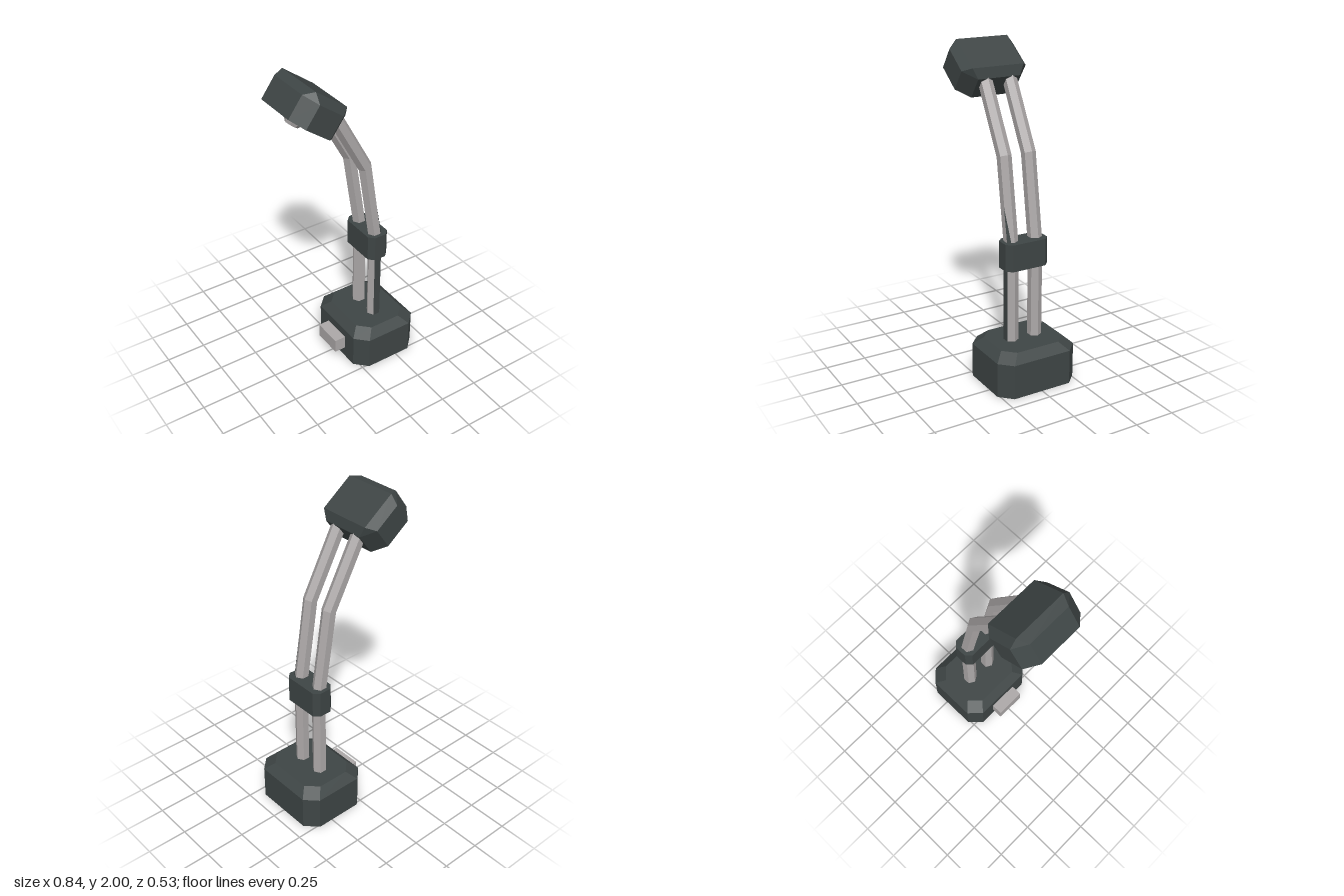
import * as THREE from 'three';

const darkShell = new THREE.MeshStandardMaterial({ color: 0x3e4545 });
const paleMetal = new THREE.MeshStandardMaterial({ color: 0xaca8a8 });

// Closed faceted solid through rings of points (counter-clockwise seen from above)
function loft(rings) {
  const pos = [];
  const tri = (...pts) => pts.forEach(p => pos.push(p.x, p.y, p.z));
  const n = rings[0].length;
  for (let k = 0; k < rings.length - 1; k++) {
    const lo = rings[k], hi = rings[k + 1];
    for (let i = 0; i < n; i++) {
      const j = (i + 1) % n;
      tri(lo[i], lo[j], hi[j]);
      tri(lo[i], hi[j], hi[i]);
    }
  }
  const top = rings[rings.length - 1], bottom = rings[0];
  for (let i = 1; i < n - 1; i++) {
    tri(top[0], top[i], top[i + 1]);
    tri(bottom[0], bottom[i + 1], bottom[i]);
  }
  const geo = new THREE.BufferGeometry();
  geo.setAttribute('position', new THREE.Float32BufferAttribute(pos, 3));
  geo.computeVertexNormals();
  return geo;
}

// Rectangle with cut corners at height y
function cutRect(hx, hz, cut, y) {
  return [
    [hx, hz - cut], [hx, -hz + cut], [hx - cut, -hz], [-hx + cut, -hz],
    [-hx, -hz + cut], [-hx, hz - cut], [-hx + cut, hz], [hx - cut, hz],
  ].map(([x, z]) => new THREE.Vector3(x, y, z));
}

// Hexagonal ring tilted in the xy plane; stretch widens it for mitred bends
const R = 0.043;
function hexRing(x, y, z, tilt, stretch = 1) {
  return Array.from({ length: 6 }, (_, i) => {
    const a = i * Math.PI / 3, u = Math.cos(a) * R * stretch;
    return new THREE.Vector3(x + u * Math.cos(tilt), y + u * Math.sin(tilt), z - Math.sin(a) * R);
  });
}

export function createModel() {
  const model = new THREE.Group();
  const add = (parent, name, geo, mat, x = 0, y = 0, z = 0) => {
    const mesh = new THREE.Mesh(geo, mat);
    mesh.name = name;
    mesh.position.set(x, y, z);
    parent.add(mesh);
    return mesh;
  };

  // Base with bevelled top
  add(model, 'base', loft([
    cutRect(0.226, 0.264, 0.074, 0),
    cutRect(0.226, 0.264, 0.074, 0.215),
    cutRect(0.173, 0.211, 0.07, 0.265),
  ]), darkShell, 0.194);

  // Switch on the side of the base
  add(model, 'switch', new THREE.BoxGeometry(0.095, 0.09, 0.19), paleMetal, -0.0575, 0.115, 0);

  // Twin bent hexagonal poles
  const px = 0.193, pz = 0.081;
  for (const side of [1, -1]) {
    add(model, side > 0 ? 'frontPole' : 'backPole', loft([
      hexRing(px, 0.25, side * pz, 0),
      hexRing(px, 0.85, side * pz, 0.08),
      hexRing(0.111, 1.38, side * pz, 0.325, 1.015),
      hexRing(-0.125, 1.815, side * pz, 0.497),
    ]), paleMetal);
  }

  // Dark strip on the face of the front pole, ending in a sliver above the collar
  add(model, 'poleStrip', new THREE.PlaneGeometry(0.046, 0.5), darkShell, px, 0.5, pz + R * 0.866 + 0.001);
  const sliver = new THREE.BufferGeometry().setFromPoints([
    new THREE.Vector3(px + 0.018, 0.88, pz + 0.0385),
    new THREE.Vector3(px + 0.034, 0.88, pz + 0.018),
    new THREE.Vector3(px - 0.018, 1.1, pz + 0.0385),
  ]);
  sliver.computeVertexNormals();
  add(model, 'poleStripEnd', sliver, darkShell);

  // Collar holding both poles
  add(model, 'collar', loft([
    cutRect(0.07, 0.141, 0.032, 0.725),
    cutRect(0.07, 0.141, 0.032, 0.89),
  ]), darkShell, px);

  // Tilted lamp head, origin at the centre of its underside
  const head = new THREE.Group();
  head.name = 'lampHead';
  head.position.set(-0.2875, 1.7725, 0.007);
  head.rotation.z = -0.634;
  model.add(head);
  add(head, 'headShell', loft([
    cutRect(0.165, 0.213, 0.075, 0),
    cutRect(0.165, 0.213, 0.075, 0.147),
    cutRect(0.119, 0.168, 0, 0.194),
  ]), darkShell);

  // Faceted bulb below the head
  const bulb = new THREE.CylinderGeometry(0.078, 0.04, 0.05, 8).toNonIndexed();
  bulb.computeVertexNormals();
  add(head, 'bulb', bulb, paleMetal, -0.01, -0.015, -0.007);

  return model;
}
